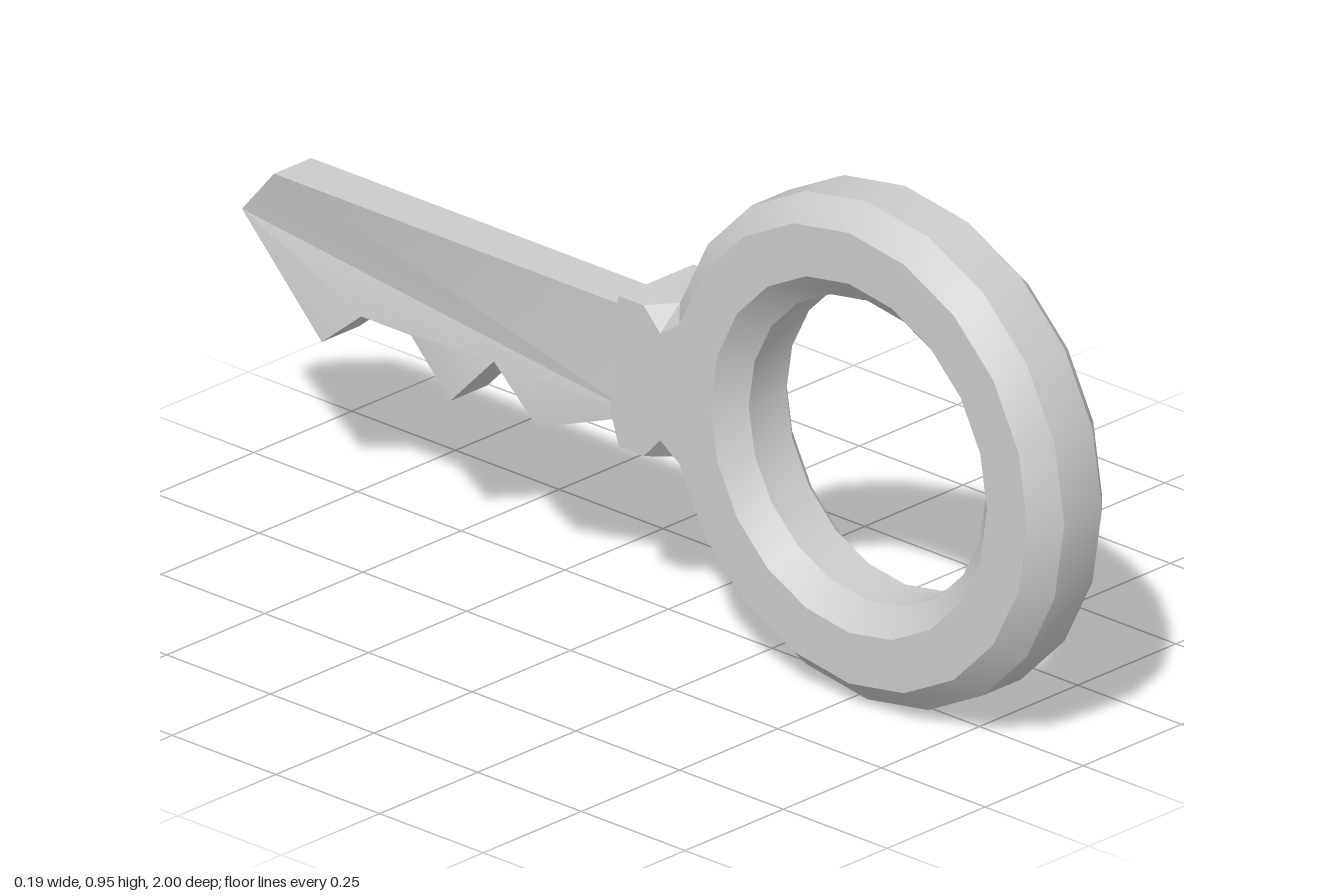
import * as THREE from 'three';
import { toCreasedNormals } from 'three/addons/utils/BufferGeometryUtils.js';

const material = new THREE.MeshStandardMaterial({ color: 0xcccccc });

function addMesh(group, name, geometry) {
  const mesh = new THREE.Mesh(toCreasedNormals(geometry, 0.5), material);
  mesh.name = name;
  group.add(mesh);
}

// Joins matching outlines from -x to +x and caps both ends.
// Outline points are [x, y, z], counterclockwise when seen from +x.
function loft(loops) {
  const n = loops[0].length;
  const index = [];
  for (let k = 0; k < loops.length - 1; k++) {
    for (let i = 0; i < n; i++) {
      const j = (i + 1) % n;
      const a = k * n + i, b = k * n + j, c = b + n, d = a + n;
      index.push(a, b, c, a, c, d);
    }
  }
  const cap = (k, flip) => {
    const outline = loops[k].map(([, y, z]) => new THREE.Vector2(-z, y));
    for (const [a, b, c] of THREE.ShapeUtils.triangulateShape(outline, [])) {
      const o = k * n;
      if (flip) index.push(o + a, o + c, o + b);
      else index.push(o + a, o + b, o + c);
    }
  };
  cap(0, true);
  cap(loops.length - 1, false);
  const geometry = new THREE.BufferGeometry();
  geometry.setAttribute('position', new THREE.Float32BufferAttribute(loops.flat(2), 3));
  geometry.setIndex(index);
  return geometry;
}

export function createModel() {
  const group = new THREE.Group();
  group.name = 'key';
  const midY = 0.478;

  // Ring handle: bevelled section swept around the x axis
  const section = [
    [0.43, -0.095], [0.475, -0.048], [0.475, 0.048], [0.43, 0.095],
    [0.333, 0.095], [0.286, 0.048], [0.286, -0.048], [0.333, -0.095], [0.43, -0.095],
  ].map(([r, h]) => new THREE.Vector2(r, h));
  const ring = new THREE.LatheGeometry(section, 20);
  ring.rotateZ(Math.PI / 2).translate(0, midY, 0.525);
  addMesh(group, 'ringHandle', ring);

  // Collar: block with notched corners where it meets the ring; [z, height above middle]
  const sideTop = [[-0.05, 0.08], [-0.03, 0.144], [0.03, 0.144], [0.07, 0.102], [0.116, 0.133]];
  const midTop = [[-0.05, 0.08], [-0.03, 0.144], [0.073, 0.147], [0.073, 0.147], [0.073, 0.147]];
  const collarLoop = (half, x) => [
    ...half.map(([z, h]) => [x, midY + h, z]),
    ...half.map(([z, h]) => [x, midY - h, z]).reverse(),
  ];
  addMesh(group, 'collar', loft([
    collarLoop(sideTop, -0.095), collarLoop(midTop, -0.048),
    collarLoop(midTop, 0.048), collarLoop(sideTop, 0.095),
  ]));

  // Toothed blade: full outline, then a bevel on the +x side only; [z, y]
  const outer = [
    [0, 0.395], [-0.245, 0.3], [-0.35, 0.395], [-0.455, 0.288], [-0.55, 0.385],
    [-0.67, 0.385], [-0.765, 0.308], [-1, 0.478], [-0.88, 0.595], [0, 0.595],
  ];
  const inner = [
    [0, 0.445], [-0.245, 0.354], [-0.35, 0.45], [-0.455, 0.355], [-0.55, 0.432],
    [-0.67, 0.432], [-0.765, 0.37], [-0.92, 0.482], [-0.85, 0.545], [0, 0.545],
  ];
  const back = outer.map(([z, y]) => [z === -1 ? -0.03 : -0.075, y, z]);
  const middle = outer.map(([z, y]) => [0.02, y, z]);
  const front = inner.map(([z, y]) => [0.07, y, z]);
  addMesh(group, 'toothedBlade', loft([back, middle, front]));

  return group;
}
